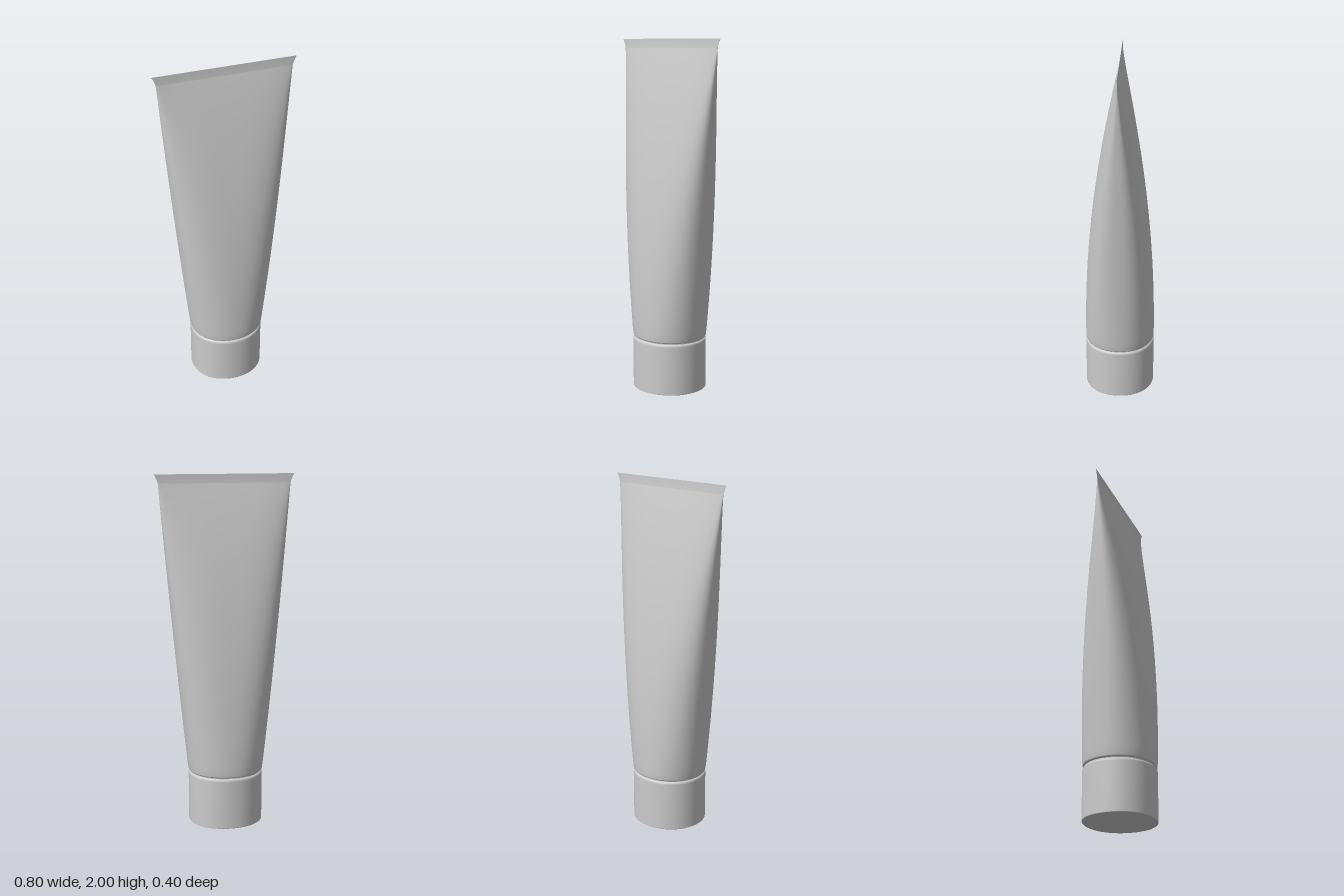
import * as THREE from 'three';

const SEGMENTS = 96;

// Point on a superellipse: n = 2 is an ellipse, higher n is boxier
function ringPoint(a, b, n, angle) {
  const c = Math.cos(angle), s = Math.sin(angle);
  return [
    a * Math.sign(c) * Math.abs(c) ** (2 / n),
    b * Math.sign(s) * Math.abs(s) ** (2 / n),
  ];
}

// Skin through horizontal sections { y, a, b, n }, listed bottom to top
function loft(sections) {
  const positions = [], index = [], row = SEGMENTS + 1;
  sections.forEach(({ y, a, b, n }, r) => {
    for (let i = 0; i <= SEGMENTS; i++) {
      const [x, z] = ringPoint(a, b, n, (i % SEGMENTS) / SEGMENTS * Math.PI * 2);
      positions.push(x, y, z);
      if (r > 0 && i < SEGMENTS) {
        const p = (r - 1) * row + i, q = p + row;
        index.push(p, q, p + 1, p + 1, q, q + 1);
      }
    }
  });
  const geometry = new THREE.BufferGeometry();
  geometry.setAttribute('position', new THREE.Float32BufferAttribute(positions, 3));
  geometry.setIndex(index);
  geometry.computeVertexNormals();
  // Match normals across the closing seam
  const normals = geometry.attributes.normal;
  const v = new THREE.Vector3(), w = new THREE.Vector3();
  for (let r = 0; r < sections.length; r++) {
    const i = r * row, j = i + SEGMENTS;
    v.fromBufferAttribute(normals, i).add(w.fromBufferAttribute(normals, j)).normalize();
    normals.setXYZ(i, v.x, v.y, v.z);
    normals.setXYZ(j, v.x, v.y, v.z);
  }
  return geometry;
}

// Flat end plate, facing up or down
function plate({ y, a, b, n }, up) {
  const outline = Array.from({ length: SEGMENTS }, (_, i) =>
    new THREE.Vector2(...ringPoint(a, b, n, i / SEGMENTS * Math.PI * 2)));
  const geometry = new THREE.ShapeGeometry(new THREE.Shape(outline));
  return geometry.rotateX(up ? -Math.PI / 2 : Math.PI / 2).translate(0, y, 0);
}

export function createModel() {
  const model = new THREE.Group();
  const material = new THREE.MeshStandardMaterial({
    color: 0xcccccc, roughness: 0.6, side: THREE.DoubleSide,
  });
  const add = (name, geometry) => {
    const mesh = new THREE.Mesh(geometry, material);
    mesh.name = name;
    model.add(mesh);
  };

  // Cap: straight oval wall with a softened upper rim
  const cap = [[0, 0], [0.004, 0.002], [0.28, 0.002], [0.287, 0.001], [0.292, -0.002], [0.295, -0.008]]
    .map(([y, grow]) => ({ y, a: 0.211 + grow, b: 0.2 + grow, n: 2.1 }));
  add('capWall', loft(cap));
  add('capBase', plate(cap[0], false));
  add('capTop', plate(cap[cap.length - 1], true));

  // Neck visible in the narrow gap between cap and body
  add('neck', loft([0.28, 0.32].map((y) => ({ y, a: 0.203, b: 0.191, n: 2.1 }))));

  // Body: an oval that widens and flattens toward the seal
  const body = [[0.301, 0.009], [0.304, 0.004], [0.31, 0.001]]
    .map(([y, inset]) => ({ y, a: 0.216 - inset, b: 0.202 - inset, n: 2.1 }));
  const rows = 40;
  for (let i = 1; i <= rows; i++) {
    const t = i / rows;
    body.push({
      y: 0.31 + 1.64 * t,
      a: 0.216 + 0.162 * t + 0.01 * t * (1 - t),
      b: 0.004 + 0.198 * (1 - t ** 2.1),
      n: 2.1 + 1.3 * t,
    });
  }
  add('tubeBody', loft(body));
  add('bodyBase', plate(body[0], false));

  // Seal: thin crimped strip flaring out at the top
  const seal = [[0, 0.378, 0.004], [0.015, 0.382, 0.0025], [0.035, 0.391, 0.0015], [0.05, 0.4, 0.001]]
    .map(([up, a, b]) => ({ y: 1.95 + up, a, b, n: 3.4 }));
  add('crimpedSeal', loft(seal));
  add('sealEdge', plate(seal[seal.length - 1], true));

  return model;
}
